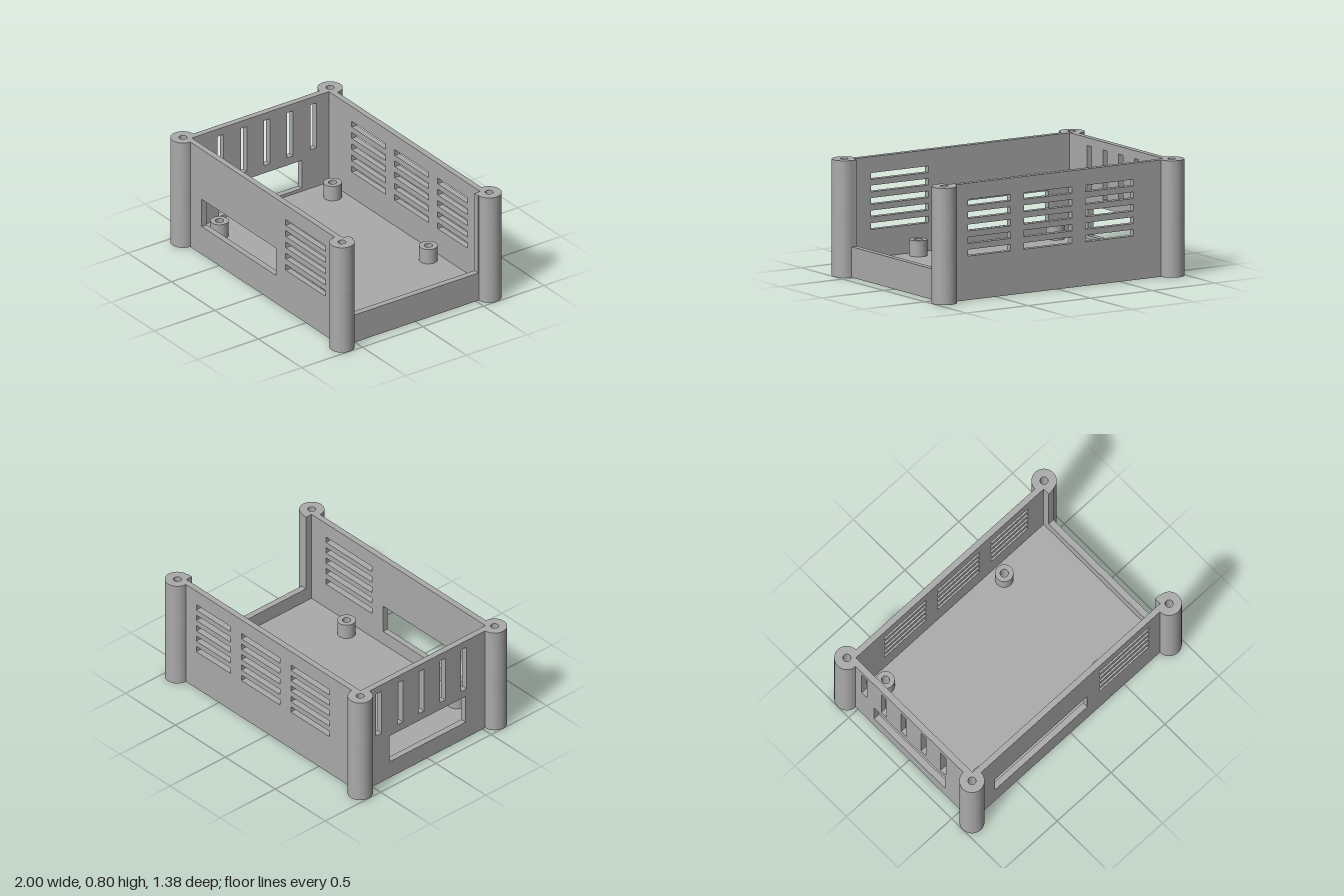
import * as THREE from 'three';
import { toCreasedNormals } from 'three/addons/utils/BufferGeometryUtils.js';

const H = 0.797;              // overall height
const PX = 0.915, PZ = 0.607; // corner post centres
const IX = 0.871, IZ = 0.565; // inner faces of the walls
const FLOOR = 0.108, LOW = 0.209, STANDOFF = 0.217;

const rect = (C, x0, x1, y0, y1) => {
  const s = new C();
  s.moveTo(x0, y0);
  s.lineTo(x1, y0);
  s.lineTo(x1, y1);
  s.lineTo(x0, y1);
  s.closePath();
  return s;
};
const circle = (C, x, y, r) => new C().absarc(x, y, r, 0, Math.PI * 2, false);

function extrude(shape, depth) {
  const g = new THREE.ExtrudeGeometry(shape, { depth, bevelEnabled: false, curveSegments: 28 });
  return toCreasedNormals(g, 0.6);
}
// Plan shape (x, z) raised from y0 to y1; every plan here is written with y = -z
const raise = (shape, y0, y1) => extrude(shape, y1 - y0).rotateX(-Math.PI / 2).translate(0, y0, 0);

// Post outline: a circle with the quarter inside the box cut away
function postShape(sx, sy) {
  const r = 0.085, dx = PX - IX, dy = PZ - IZ;
  const a0 = Math.acos(dx / r), a1 = Math.asin(dy / r) + Math.PI * 2;
  const pts = [];
  for (let i = 0; i <= 48; i++) {
    const a = a0 + (a1 - a0) * i / 48;
    pts.push([Math.cos(a) * r, Math.sin(a) * r]);
  }
  pts.push([dx, dy]);
  return new THREE.Shape(pts.map(([x, y]) => new THREE.Vector2(sx * (PX - x), sy * (PZ - y))));
}

// Keyhole: round entry with a narrow slot running toward -x
function keyhole(x) {
  const r = 0.08, w = 0.033, a = Math.asin(w / r);
  const p = new THREE.Path();
  p.absarc(x, 0, r, -Math.PI + a, Math.PI - a, false);
  p.absarc(x - 0.175, 0, w, Math.PI / 2, Math.PI * 1.5, false);
  p.closePath();
  return p;
}

export function createModel() {
  const model = new THREE.Group();
  const grey = new THREE.MeshStandardMaterial({ color: 0xaaaaaa });
  grey.name = 'grey plastic';
  const add = (name, geometry) => {
    const m = new THREE.Mesh(geometry, grey);
    m.name = name;
    model.add(m);
  };

  const rows = [0, 1, 2, 3, 4].map(i => 0.3 + i * 0.0855);
  const addSlots = (shape, x0, x1) => {
    for (const y of rows) shape.holes.push(rect(THREE.Path, x0, x1, y, y + 0.044));
  };
  const T = PZ - IZ, ex = PX - 0.05, ez = PZ - 0.05;

  // Front wall with port opening and one bank of vents
  const front = rect(THREE.Shape, -ex, ex, 0, H);
  front.holes.push(rect(THREE.Path, -0.7, 0.155, 0.211, 0.418));
  addSlots(front, 0.267, 0.726);
  add('frontWall', extrude(front, T).translate(0, 0, IZ));

  // Back wall with three banks of vents
  const back = rect(THREE.Shape, -ex, ex, 0, H);
  for (const [a, b] of [[-0.607, -0.22], [-0.112, 0.274], [0.382, 0.726]]) addSlots(back, a, b);
  add('backWall', extrude(back, T).translate(0, 0, -PZ));

  // Vented end wall, drawn as (-z, y) and turned to face -x
  const end = rect(THREE.Shape, -ez, ez, 0, H);
  end.holes.push(rect(THREE.Path, -0.345, 0.342, 0.13, 0.342));
  for (let i = 0; i < 5; i++) {
    const u = -0.353 + i * 0.1915;
    end.holes.push(rect(THREE.Path, u, u + 0.05, 0.4, 0.742));
  }
  add('ventedEndWall', extrude(end, PX - IX).rotateY(Math.PI / 2).translate(-PX, 0, 0));

  // Open end: low sill with narrow full-height returns
  const sill = new THREE.Shape([
    [-ez, 0], [ez, 0], [ez, H], [0.517, H], [0.517, LOW],
    [-0.517, LOW], [-0.517, H], [-ez, H],
  ].map(([x, y]) => new THREE.Vector2(x, y)));
  add('openEndWall', extrude(sill, PX - IX).rotateY(Math.PI / 2).translate(IX, 0, 0));

  // Floor in two layers: underside recesses below, screw holes through both
  const screws = [[-0.69, 0.467], [0.412, 0.467], [-0.69, -0.467], [0.412, -0.467]];
  const lower = rect(THREE.Shape, -0.9, 0.9, -0.59, 0.59);
  const upper = rect(THREE.Shape, -0.9, 0.9, -0.59, 0.59);
  for (const [x, y] of screws) {
    lower.holes.push(circle(THREE.Path, x, y, 0.045));
    upper.holes.push(circle(THREE.Path, x, y, 0.028));
  }
  lower.holes.push(keyhole(0.735), keyhole(-0.34));
  add('floorUnderside', raise(lower, 0, 0.06));
  add('floorTop', raise(upper, 0.06, FLOOR));

  // Board standoffs
  for (const [x, y] of screws) {
    const ring = circle(THREE.Shape, x, y, 0.062);
    ring.holes.push(circle(THREE.Path, x, y, 0.028));
    add('standoff', raise(ring, FLOOR, STANDOFF));
  }

  // Corner posts with blind screw holes in the top
  for (const sx of [-1, 1]) for (const sy of [-1, 1]) {
    add('cornerPostBase', raise(postShape(sx, sy), 0, 0.45));
    const top = postShape(sx, sy);
    top.holes.push(circle(THREE.Path, sx * PX, sy * PZ, 0.027));
    add('cornerPostTop', raise(top, 0.45, H));
  }
  return model;
}
